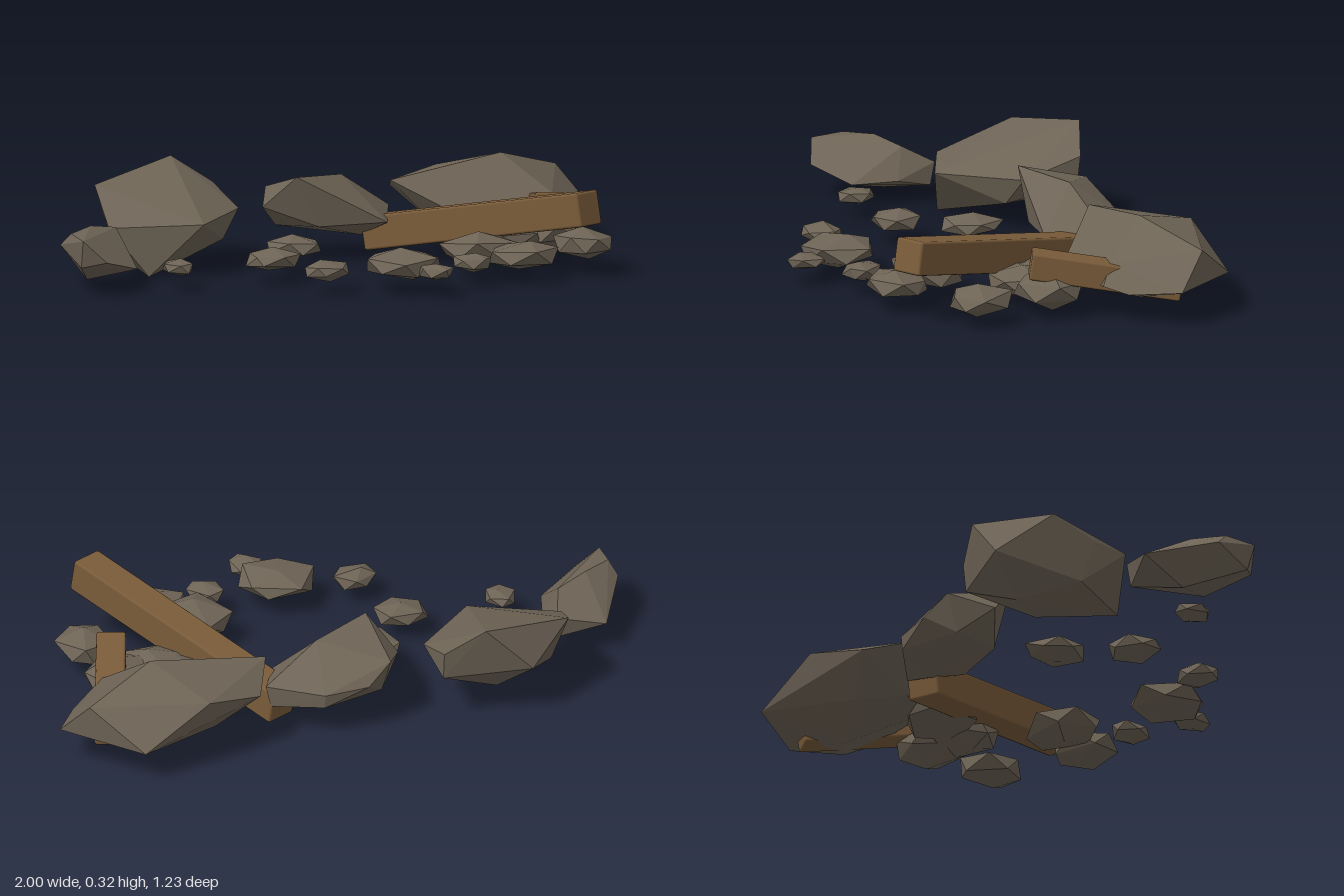
import * as THREE from 'three';
import { ConvexGeometry } from 'three/addons/geometries/ConvexGeometry.js';
import { RoundedBoxGeometry } from 'three/addons/geometries/RoundedBoxGeometry.js';

const stone = new THREE.MeshStandardMaterial({ color: 0x6e6456 });
stone.name = 'stone';
const wood = new THREE.MeshStandardMaterial({ color: 0x7a5c3a });
wood.name = 'wood';

// Small seeded random, 0..1
function seeded(seed) {
  let s = seed * 7919 + 17;
  return () => (s = (s * 16807) % 2147483647) / 2147483647;
}

// Faceted stone wrapped around a few corner points
function boulder(name, corners) {
  const geo = new ConvexGeometry(corners.map((c) => new THREE.Vector3(...c)));
  const mesh = new THREE.Mesh(geo, stone);
  mesh.name = name;
  return mesh;
}

// Irregular twelve-cornered stone fitted to a box of the given centre and half sizes
function smallRock(name, seed, [cx, cz, hx, hz, low, high]) {
  const rand = seeded(seed);
  for (let i = 0; i < 5; i++) rand();
  const turn = rand() * Math.PI * 2;
  const pts = [
    new THREE.Vector3(rand() * 0.5 - 0.25, 1, rand() * 0.5 - 0.25),
    new THREE.Vector3(rand() * 0.5 - 0.25, -1, rand() * 0.5 - 0.25),
  ];
  for (const [level, shift] of [[0.42, 0], [-0.42, 0.5]]) {
    for (let i = 0; i < 5; i++) {
      const a = turn + ((i + shift + rand() * 0.3) / 5) * Math.PI * 2;
      const r = 0.82 + rand() * 0.15;
      pts.push(new THREE.Vector3(Math.cos(a) * r, level + (rand() - 0.5) * 0.3, Math.sin(a) * r));
    }
  }
  const box = new THREE.Box3().setFromPoints(pts);
  const mid = box.getCenter(new THREE.Vector3());
  const half = box.getSize(new THREE.Vector3()).multiplyScalar(0.5);
  const size = new THREE.Vector3(hx, (high - low) / 2, hz);
  const centre = new THREE.Vector3(cx, (low + high) / 2, cz);
  pts.forEach((p) => p.sub(mid).divide(half).multiply(size).add(centre));
  return boulder(name, pts.map((p) => p.toArray()));
}

// Squared timber with slightly worn edges, laid between two points
function timber(name, from, to, width, height) {
  const a = new THREE.Vector3(...from);
  const b = new THREE.Vector3(...to);
  const mesh = new THREE.Mesh(
    new RoundedBoxGeometry(width, height, a.distanceTo(b), 1, 0.008), wood);
  mesh.position.copy(a).add(b).multiplyScalar(0.5);
  mesh.lookAt(a);
  mesh.name = name;
  return mesh;
}

export function createModel() {
  const group = new THREE.Group();
  group.name = 'rubble';

  // Four large boulders
  group.add(boulder('backRightBoulder', [
    [-0.745, 0.16, -0.21], [-0.69, 0.265, -0.445], [-0.53, 0.17, -0.565], [-0.375, 0.325, -0.555],
    [-0.25, 0.24, -0.51], [-0.25, 0.15, -0.5], [-0.245, 0.18, -0.315], [-0.465, 0.17, -0.095],
    [-0.72, 0.19, -0.31], [-0.315, 0.09, -0.28], [-0.625, 0.002, -0.165], [-0.67, 0.065, -0.33],
    [-0.45, 0.06, -0.44],
  ]));
  group.add(boulder('backMiddleBoulder', [
    [-0.155, 0.175, -0.33], [-0.08, 0.28, -0.23], [-0.085, 0.22, -0.465], [0, 0.16, -0.5],
    [0.145, 0.15, -0.495], [0.145, 0.105, -0.49], [-0.07, 0.1, -0.42], [0.12, 0.265, -0.33],
    [0.305, 0.15, -0.375], [0.225, 0.12, -0.205], [0, 0.115, -0.235], [0.2, 0.06, -0.36],
    [0.29, 0.08, -0.38],
  ]));
  group.add(boulder('backLeftBoulder', [
    [0.29, 0.235, -0.33], [0.365, 0.19, -0.5], [0.56, 0.235, -0.575], [0.79, 0.11, -0.615],
    [0.93, 0.23, -0.47], [0.998, 0.115, -0.375], [0.905, 0.1, -0.23], [0.83, 0.115, -0.17],
    [0.8, 0.18, -0.205], [0.5, 0.11, -0.16], [0.685, 0.297, -0.35], [0.685, 0.025, -0.36],
    [0.42, 0.1, -0.3], [0.5, 0.08, -0.45],
  ]));
  group.add(boulder('rightBoulder', [
    [-1, 0.15, -0.02], [-0.98, 0.19, 0.02], [-0.89, 0.1, -0.23], [-0.735, 0.13, -0.2],
    [-0.727, 0.08, -0.07], [-0.77, 0.07, 0.07], [-0.915, 0.11, 0.155], [-0.985, 0.18, 0.125],
    [-0.98, 0.09, 0.1], [-0.88, 0.2, -0.05], [-0.77, 0.182, -0.1], [-0.88, 0.022, -0.08],
    [-0.735, 0.055, -0.185],
  ]));

  // Scattered small rocks: centre x, centre z, half width, half depth, bottom, top
  const scatter = [
    [-0.155, -0.1, 0.083, 0.1, 0.045, 0.12],
    [-0.645, 0.105, 0.05, 0.06, 0.045, 0.1],
    [-0.31, 0.1, 0.085, 0.075, 0.04, 0.115],
    [-0.245, 0.375, 0.075, 0.06, 0.04, 0.11],
    [0, 0.41, 0.125, 0.118, 0.035, 0.135],
    [0.06, 0.55, 0.053, 0.065, 0.05, 0.105],
    [0.24, 0.425, 0.062, 0.062, 0.045, 0.11],
    [0.345, 0.24, 0.128, 0.112, 0.03, 0.15],
    [0.435, 0.385, 0.115, 0.095, 0.035, 0.13],
    [0.725, 0.205, 0.09, 0.097, 0.03, 0.135],
    [0.55, 0, 0.11, 0.1, 0.03, 0.14],
    [0.5, -0.12, 0.125, 0.12, 0.04, 0.15],
    [0.69, -0.03, 0.11, 0.1, 0.02, 0.155],
  ];
  scatter.forEach((r, i) => group.add(smallRock('smallRock' + (i + 1), i + 3, r)));

  // Two fallen timbers leaning on the rubble
  group.add(timber('longBeam', [0.647, 0.227, 0.428], [0.24, 0.068, -0.355], 0.11, 0.11));
  group.add(timber('shortBeam', [0.69, 0.176, 0.025], [0.85, 0.1, -0.43], 0.095, 0.088));

  return group;
}
